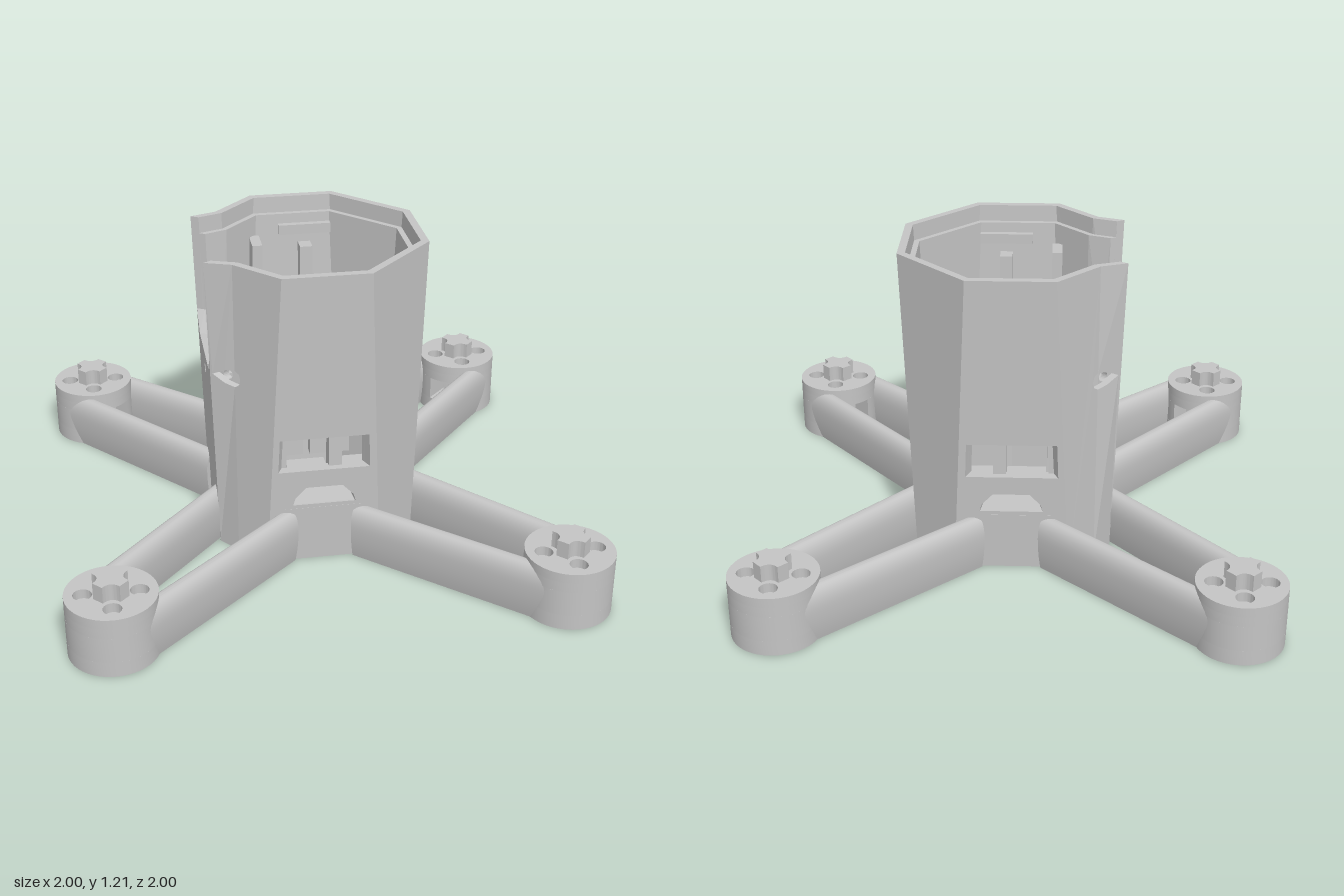
import * as THREE from 'three';
import { toCreasedNormals } from 'three/addons/utils/BufferGeometryUtils.js';

const grey = new THREE.MeshStandardMaterial({ color: 0xc4c4c4 });
grey.name = 'grey plastic';

function add(parent, name, geometry) {
  const mesh = new THREE.Mesh(geometry, grey);
  mesh.name = name;
  parent.add(mesh);
  return mesh;
}

function addBox(parent, name, [x0, x1], [y0, y1], [z0, z1]) {
  const mesh = add(parent, name, new THREE.BoxGeometry(x1 - x0, y1 - y0, z1 - z0));
  mesh.position.set((x0 + x1) / 2, (y0 + y1) / 2, (z0 + z1) / 2);
  return mesh;
}

const vectors = points => points.map(p => new THREE.Vector2(...p));
const hole = points => new THREE.Path(vectors(points));
const rect = (a, b, c, d) => [[a, c], [b, c], [b, d], [a, d]];
function polygon(points, holes = []) {
  const shape = new THREE.Shape(vectors(points));
  shape.holes = holes;
  return shape;
}
function round(x, y, rx, ry = rx) {
  return new THREE.Path().absellipse(x, y, rx, ry, 0, Math.PI * 2, true);
}

// Ten tower corners at a given height, starting at the front left edge
function corners(y) {
  const t = (y - 0.22) / 0.98;
  const h = 0.39 + 0.04 * t, f = 0.21 - 0.045 * t;
  const e = 0.28 - 0.008 * t, k = 0.21 + 0.027 * t, b = 0.39 + 0.03 * t;
  return [[-f, h], [f, h], [h, f], [h, -f], [f, -h], [-f, -h],
    [-0.32, -e], [-b, -k], [-b, k], [-0.32, e]];
}

// Bends a shape drawn in (share of side, height) onto one side of the tower
function panel(side, shape, outer, inner) {
  const geo = new THREE.ExtrudeGeometry(shape, { depth: 1, bevelEnabled: false, curveSegments: 10 });
  const p = geo.attributes.position;
  for (let i = 0; i < p.count; i++) {
    const s = p.getX(i), y = p.getY(i), c = corners(y);
    const a = c[side], b = c[(side + 1) % 10];
    const k = inner + (outer - inner) * p.getZ(i);
    p.setXYZ(i, (a[0] + (b[0] - a[0]) * s) * k, y, (a[1] + (b[1] - a[1]) * s) * k);
  }
  geo.computeVertexNormals();
  return geo;
}

// Screw pocket edges, read upwards, as (distance from the shared corner, height)
const earPocket = [[0, 0.715], [0.4, 0.725], [0.9, 0.755], [0.4, 0.778], [0, 0.782]];
const cheekPocket = [[0, 0.715], [0.1, 0.725], [0.14, 0.75], [0.1, 0.773], [0, 0.782]];

// Outline and cut-outs of a tower side
function sideShape(side, layer, top) {
  if (layer === 'baseRing') return polygon(rect(0, 1, 0, top));
  if (side === 0 || side === 4) {
    const shift = side === 0 ? 0 : 0.01;
    return polygon(rect(0, 1, 0, top), [
      hole(rect(0.06 + shift, 0.93 + shift, 0.4, 0.54)),
      hole([[0.21, 0.25], [0.79, 0.25], [0.77, 0.28], [0.67, 0.325], [0.33, 0.325], [0.23, 0.28]]),
    ]);
  }
  if (side === 7) {
    return polygon([[0, 0], [1, 0], [1, 0.82], [0.86, 0.74], [0.14, 0.74], [0, 0.82]],
      [round(0.5, 0.67, 0.045, 0.02)]);
  }
  const ear = side === 6 || side === 8;
  if (layer === 'outerWall' && (ear || side === 5 || side === 9)) {
    const pocket = ear ? earPocket : cheekPocket;
    return side === 5 || side === 8
      ? polygon([[0, 0], [1, 0], ...pocket.map(([d, y]) => [1 - d, y]), [1, top], [0, top]])
      : polygon([[0, 0], [1, 0], [1, top], [0, top], ...[...pocket].reverse()]);
  }
  return polygon(rect(0, 1, 0, top), ear ? [round(0.5, 0.75, 0.2, 0.02)] : []);
}

function buildTower() {
  const tower = new THREE.Group();
  tower.name = 'tower';
  // Outer wall, inner lining that stops below the rim, thick base ring
  const layers = [['outerWall', 1.205, 1, 0.93], ['innerLining', 1.14, 0.935, 0.88], ['baseRing', 0.21, 0.89, 0.78]];
  for (const [name, top, outer, inner] of layers) {
    for (let side = 0; side < 10; side++) {
      add(tower, name, panel(side, sideShape(side, name, top), outer, inner));
    }
  }
  for (const s of [-1, 1]) {
    const span = (a, b) => s > 0 ? [a, b] : [-b, -a];
    // Sloping floor of the vent below each window
    const ramp = addBox(tower, 'ventRamp', [-0.15, 0.15], [0.225, 0.355], span(0.353, 0.363));
    ramp.rotation.x = -s * 0.45;
    // Rails and ledges inside
    addBox(tower, 'centreRib', [0.02, 0.07], [0.37, 1.02], span(0.31, 0.37));
    addBox(tower, 'cornerPost', [-0.18, -0.14], [0.15, 1.06], span(0.25, 0.36));
    addBox(tower, 'postClip', [-0.2, -0.14], [0.15, 0.6], span(0.2, 0.25));
    addBox(tower, 'ledge', [-0.13, 0.02], [0.1, 0.37], span(0.25, 0.33));
    addBox(tower, 'ledge', [0.05, 0.23], [0.1, 0.37], span(0.25, 0.33));
    addBox(tower, 'upperRail', [-0.06, 0.15], [1.06, 1.1], span(0.35, 0.39));
  }
  addBox(tower, 'sideLedge', [0.29, 0.36], [0.06, 0.5], [-0.22, 0.22]);

  // Thick wall under the opening, with a rounded channel
  const shape = new THREE.Shape();
  shape.moveTo(-0.37, -0.2);
  shape.lineTo(-0.27, -0.2);
  shape.lineTo(-0.26, -0.1);
  shape.quadraticCurveTo(-0.27, -0.07, -0.3, -0.07);
  shape.quadraticCurveTo(-0.37, 0, -0.3, 0.07);
  shape.quadraticCurveTo(-0.27, 0.07, -0.26, 0.1);
  shape.lineTo(-0.27, 0.2);
  shape.lineTo(-0.37, 0.2);
  add(tower, 'channelBlock', slab(shape, 0.08, 0.6));
  return tower;
}

// Upright extrusion of a plan shape
function slab(shape, y0, y1) {
  const geo = new THREE.ExtrudeGeometry(shape, { depth: y1 - y0, bevelEnabled: false, curveSegments: 24 });
  geo.rotateX(-Math.PI / 2);
  geo.translate(0, y0, 0);
  return toCreasedNormals(geo, 0.5);
}

// Motor mount: its wire slot faces local +x
function buildMount() {
  const mount = new THREE.Group();
  mount.name = 'motorMount';
  const R = 0.167, turn = Math.PI / 4;
  const bolts = r => [0, 1, 2, 3].map(i => {
    const a = turn + i * Math.PI / 2;
    return round(0.1 * Math.cos(a), 0.1 * Math.sin(a), r);
  });
  const disc = holes => {
    const s = new THREE.Shape().absarc(0, 0, R, 0, Math.PI * 2, false);
    s.holes = holes;
    return s;
  };
  const slot = new THREE.Shape();
  const a = Math.asin(0.035 / R);
  slot.absarc(0, 0, R, a, Math.PI * 2 - a, false);
  slot.lineTo(0.04, -0.035);
  slot.lineTo(0.04, 0.035);
  slot.holes = bolts(0.018);
  // Cross-shaped hub, hollowed around the bolts
  const hub = new THREE.Shape();
  for (let i = 0; i < 4; i++) {
    const b = turn + i * Math.PI / 2;
    const at = (r, d) => [r * Math.cos(b + d), r * Math.sin(b + d)];
    hub[i ? 'lineTo' : 'moveTo'](...at(0.07, -0.45));
    hub.quadraticCurveTo(...at(0.03, 0), ...at(0.07, 0.45));
  }
  const layers = [
    ['mountBottom', disc([...bolts(0.018), round(0, 0, 0.04)]), 0, 0.06],
    ['mountMiddle', slot, 0.06, 0.16],
    ['mountUpper', disc(bolts(0.018)), 0.16, 0.2],
    ['mountTop', disc(bolts(0.034)), 0.2, 0.237],
    ['hubCross', hub, 0.23, 0.302],
  ];
  for (const [name, shape, y0, y1] of layers) add(mount, name, slab(shape, y0, y1));
  return mount;
}

// Arm beam with slightly bulging sides and a rounded top
function buildBeam(x0, z0, x1, z1) {
  const s = new THREE.Shape();
  s.moveTo(-0.026, 0);
  s.lineTo(0.026, 0);
  s.bezierCurveTo(0.036, 0.045, 0.042, 0.09, 0.042, 0.14);
  s.bezierCurveTo(0.042, 0.19, 0.025, 0.22, 0, 0.22);
  s.bezierCurveTo(-0.025, 0.22, -0.042, 0.19, -0.042, 0.14);
  s.bezierCurveTo(-0.042, 0.09, -0.036, 0.045, -0.026, 0);
  const length = Math.hypot(x1 - x0, z1 - z0);
  const geo = new THREE.ExtrudeGeometry(s, { depth: length, bevelEnabled: false, curveSegments: 8 });
  const mesh = new THREE.Mesh(toCreasedNormals(geo, 0.6), grey);
  mesh.name = 'armBeam';
  mesh.position.set(x0, 0, z0);
  mesh.rotation.y = Math.atan2(x1 - x0, z1 - z0);
  return mesh;
}

export function createModel() {
  const model = new THREE.Group();
  model.name = 'droneFrame';
  model.add(buildTower());
  for (const sx of [-1, 1]) {
    for (const sz of [-1, 1]) {
      const arm = new THREE.Group();
      arm.name = 'arm';
      // The beams run tangent to the outer sides of the motor mount
      arm.add(buildBeam(0.13 * sx, 0.37 * sz, 0.735 * sx, 0.911 * sz));
      arm.add(buildBeam(0.37 * sx, 0.13 * sz, 0.911 * sx, 0.735 * sz));
      const mount = buildMount();
      mount.position.set(0.833 * sx, 0, 0.833 * sz);
      mount.rotation.y = Math.atan2(sz, -sx);
      arm.add(mount);
      model.add(arm);
    }
  }
  return model;
}
